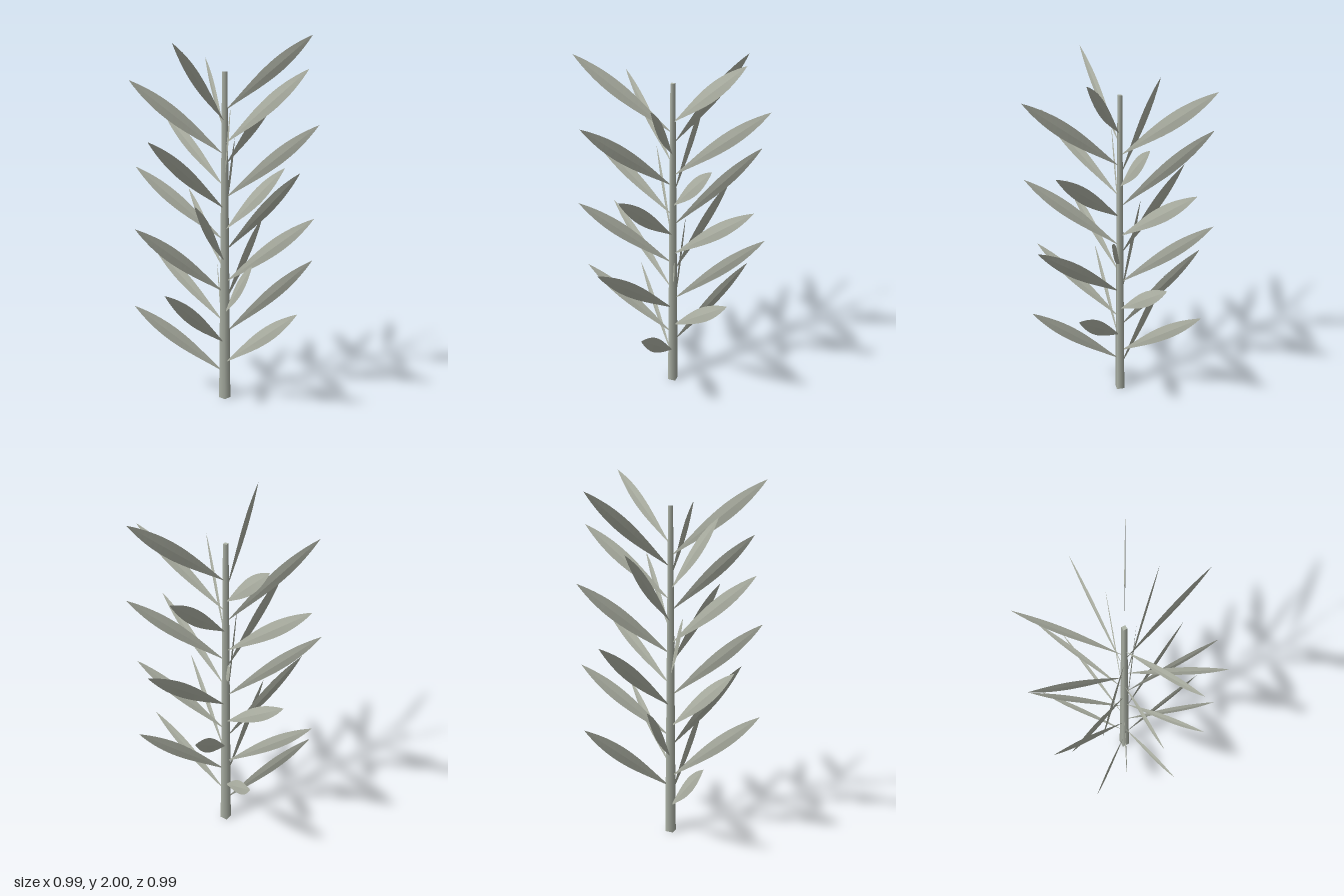
import * as THREE from 'three';

const LEAVES = 26;
const REACH = 0.496; // horizontal distance from the axis to a leaf tip
const RISE = 0.393; // height gained from leaf root to tip

// Thin blade with a slender root, standing in the vertical xy plane and rising towards +x
function bladeGeometry() {
  const geometry = new THREE.CylinderGeometry(1, 1, 1, 4, 20, true);
  geometry.translate(0, 0.5, 0);
  const p = geometry.attributes.position;
  for (let i = 0; i < p.count; i++) {
    const t = p.getY(i);
    const swell = Math.max(Math.sin(Math.PI * Math.pow(t, 1.3)), 0.001);
    const width = 0.039 * Math.pow(swell, 0.9);
    const thickness = 0.003 * swell * swell;
    p.setXYZ(i, p.getX(i) * width, t * Math.hypot(REACH, RISE), p.getZ(i) * thickness);
  }
  geometry.rotateZ(-Math.atan2(REACH, RISE));
  geometry.computeVertexNormals();
  return geometry;
}

export function createModel() {
  const group = new THREE.Group();
  group.name = 'leafyBranch';
  const stemMaterial = new THREE.MeshStandardMaterial({ color: 0xb2b8ac });
  const leafMaterial = new THREE.MeshStandardMaterial({
    color: 0xbbbfb1, flatShading: true, side: THREE.DoubleSide,
  });

  // Tapered four-sided stem with a corner facing the front
  const stem = new THREE.Mesh(new THREE.CylinderGeometry(0.014, 0.032, 1.81, 4), stemMaterial);
  stem.position.y = 1.81 / 2;
  stem.name = 'stem';
  group.add(stem);

  // Leaves spiral up the stem by the golden angle
  const blade = bladeGeometry();
  for (let i = 0; i < LEAVES; i++) {
    const leaf = new THREE.Mesh(blade, leafMaterial);
    leaf.name = 'leaf' + (i + 1);
    leaf.position.y = 0.147 + 0.0584 * i;
    leaf.rotation.y = THREE.MathUtils.degToRad(137.51 * i - 182.1);
    group.add(leaf);
  }
  return group;
}
